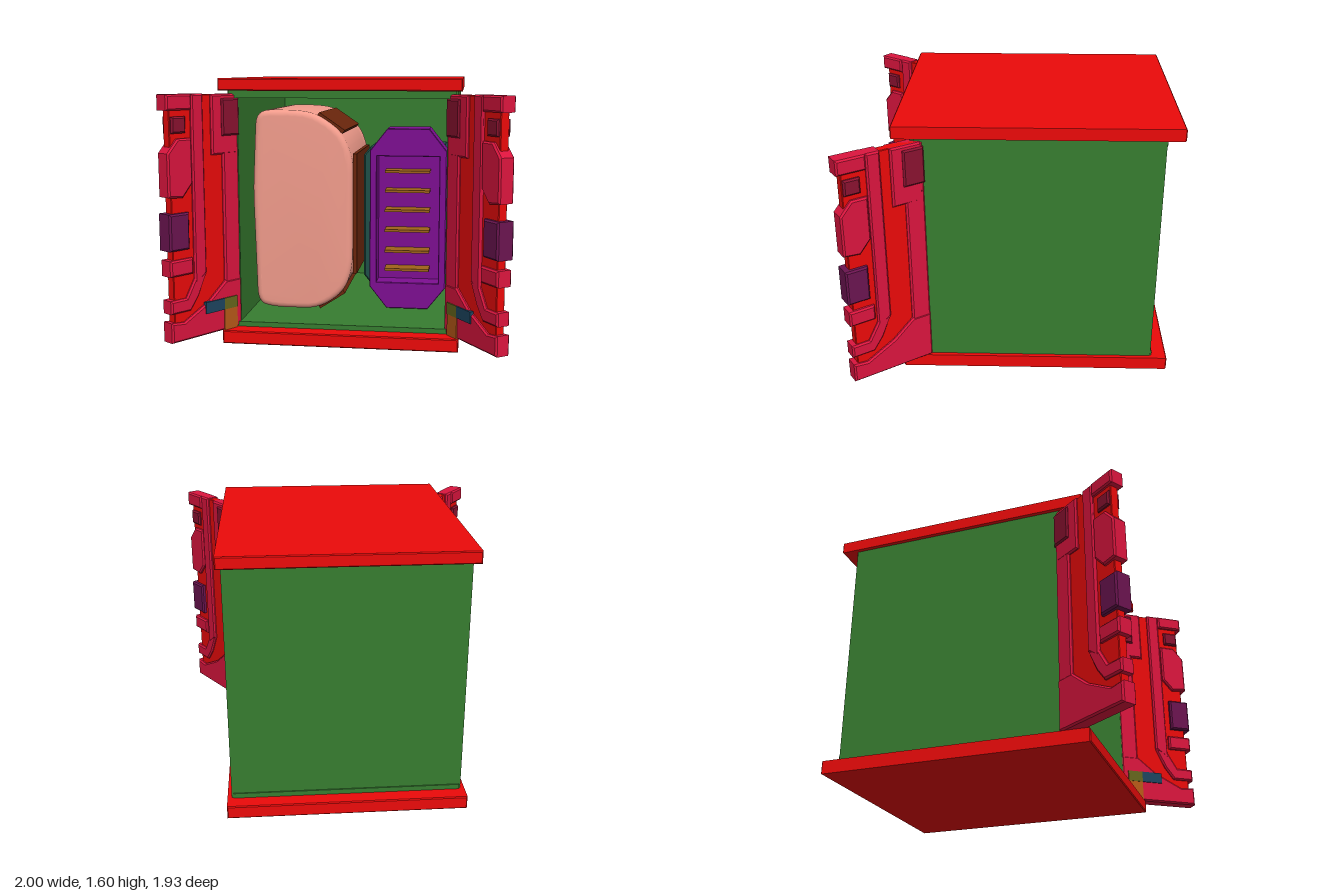
import * as THREE from 'three';
import { toCreasedNormals } from 'three/addons/utils/BufferGeometryUtils.js';

const mat = color => new THREE.MeshStandardMaterial({ color });
const RED = mat(0xec0a0a), CRIMSON = mat(0xdc153e), DARK = mat(0x8a1230), PLUM = mat(0x6b1450),
  GREEN = mat(0x377d30), PINK = mat(0xf29c8c), PURPLE = mat(0x7d0f92), TEAL = mat(0x1f5048),
  BLUE = mat(0x1d4560), OLIVE = mat(0x66661c), ORANGE = mat(0xb85a18), BROWN = mat(0x6b260c), FIN = mat(0xa0621a);

function add(parent, name, geometry, material, x = 0, y = 0, z = 0) {
  const mesh = new THREE.Mesh(geometry, material);
  mesh.name = name;
  mesh.position.set(x, y, z);
  parent.add(mesh);
  return mesh;
}

// Box given by its limits on each axis
function block(parent, name, material, x0, x1, y0, y1, z0, z1) {
  return add(parent, name, new THREE.BoxGeometry(x1 - x0, y1 - y0, z1 - z0), material,
    (x0 + x1) / 2, (y0 + y1) / 2, (z0 + z1) / 2);
}

const outline = (pts, Type = THREE.Shape) => new Type(pts.map(p => new THREE.Vector2(...p)));

// Closed outline with softened corners
function softOutline(pts, Type = THREE.Shape, r = 0.09) {
  const path = new Type();
  const v = pts.map(p => new THREE.Vector2(...p));
  v.forEach((c, i) => {
    const toward = q => c.clone().lerp(q, Math.min(0.48, r / c.distanceTo(q)));
    const a = toward(v[(i + v.length - 1) % v.length]), b = toward(v[(i + 1) % v.length]);
    if (i === 0) path.moveTo(a.x, a.y); else path.lineTo(a.x, a.y);
    path.quadraticCurveTo(c.x, c.y, b.x, b.y);
  });
  path.closePath();
  return path;
}

// Extrusion from z0 to z1 with a bevel that stays inside the outline
function slab(shape, z0, z1, bevel = 0.01, segments = 1) {
  return new THREE.ExtrudeGeometry(shape, {
    depth: z1 - z0 - 2 * bevel, bevelThickness: bevel, bevelSize: bevel, bevelOffset: -bevel,
    bevelSegments: segments, curveSegments: 6,
  }).translate(0, 0, z0 + bevel);
}

const rect = (x0, x1, y0, y1) => [[x0, y0], [x1, y0], [x1, y1], [x0, y1]];

// Door: x runs from the hinge to the free edge, z is the thickness
function makeDoor(side) {
  const door = new THREE.Group();
  door.name = side > 0 ? 'leftDoor' : 'rightDoor';
  const part = (name, pts, half, material, bevel = 0.01) =>
    add(door, name, slab(outline(pts), -half, half, bevel), material);

  part('doorPanel', rect(0.02, 0.48, 0.1, 1.505), 0.028, RED, 0.004);
  part('hingeStile', rect(-0.01, 0.11, 0.09, 1.5), 0.043, CRIMSON);
  part('hingePad', rect(0, 0.19, 1.15, 1.505), 0.044, CRIMSON);
  part('hingeBlock', rect(-0.012, 0.12, 1.26, 1.48), 0.055, DARK);
  part('middleStile', [[0.25, 0.46], [0.335, 0.4], [0.335, 1.51], [0.25, 1.51]], 0.046, CRIMSON);
  part('lowerBend', [[0.25, 0.46], [0.31, 0.33], [0.37, 0.25], [0.51, 0.25], [0.51, 0.33], [0.4, 0.33], [0.335, 0.44]],
    0.045, CRIMSON);
  part('topRail', rect(0.335, 0.51, 1.42, 1.51), 0.05, CRIMSON);
  part('upperButton', rect(0.375, 0.475, 1.29, 1.385), 0.046, DARK);
  part('sidePlate', [[0.34, 1], [0.41, 0.92], [0.51, 0.93], [0.51, 1.18], [0.44, 1.26], [0.34, 1.26]], 0.05, CRIMSON);
  part('latch', rect(0.375, 0.513, 0.62, 0.835), 0.056, PLUM);
  part('lowerRail', rect(0.35, 0.51, 0.47, 0.565), 0.05, CRIMSON);
  part('kickPlate', [[-0.01, 0.08], [0.51, 0.08], [0.51, 0.2], [0.42, 0.19], [0.24, 0.28], [0.11, 0.385], [-0.01, 0.385]],
    0.047, CRIMSON);

  // Hinge fittings on the inner face
  const fitting = (name, material, x0, x1, y0, y1, depth) => {
    const z = side * 0.03, z2 = side * depth;
    block(door, name, material, x0, x1, y0, y1, Math.min(z, z2), Math.max(z, z2));
  };
  fitting('fittingArm', BLUE, 0.13, 0.27, 0.21, 0.28, 0.055);
  fitting('fittingJoint', OLIVE, 0.03, 0.13, 0.21, 0.28, 0.055);
  fitting('fittingPost', ORANGE, 0.03, 0.13, 0.08, 0.21, 0.052);

  const angle = 0.963;
  door.position.set(side * 0.665, 0, 0.52);
  door.rotation.y = side > 0 ? -angle : angle - Math.PI;
  return door;
}

// Deep tub lying on its side, open to the front
function makeTub() {
  const tub = new THREE.Group();
  tub.name = 'tub';
  const outer = [[-0.595, 0.9], [-0.575, 0.17], [-0.47, 0.14], [-0.18, 0.14], [-0.02, 0.25], [0.035, 0.4],
    [0.04, 1.1], [-0.02, 1.26], [-0.18, 1.375], [-0.3, 1.4], [-0.57, 1.4]];
  const inner = [[-0.52, 1.29], [-0.23, 1.3], [-0.06, 1.14], [-0.06, 0.4], [-0.2, 0.23], [-0.51, 0.22]];
  const wall = softOutline(outer);
  wall.holes.push(softOutline(inner, THREE.Path));
  add(tub, 'tubWall', toCreasedNormals(slab(wall, -0.5, 0.335, 0.035, 4), 0.7), PINK);
  add(tub, 'tubBottom', toCreasedNormals(slab(softOutline(outer), -0.54, -0.4, 0.02, 2), 0.7), PINK);
  for (const y of [0.46, 0.74, 1.03]) {
    const bar = add(tub, 'crossBar', new THREE.CylinderGeometry(0.011, 0.011, 0.46, 8), PURPLE, -0.29, y, -0.31);
    bar.rotation.z = Math.PI / 2;
  }
  // Cladding boards along the rounded side
  const boards = [[-0.18, 1.375, -0.02, 1.265], [0.05, 1.13, 0.05, 0.37], [-0.02, 0.25, -0.18, 0.145]];
  for (const [x0, y0, x1, y1] of boards) {
    const length = Math.hypot(x1 - x0, y1 - y0);
    const board = add(tub, 'claddingBoard', new THREE.BoxGeometry(length, 0.025, 0.7), BROWN,
      (x0 + x1) / 2, (y0 + y1) / 2, -0.06);
    board.rotation.z = Math.atan2(y1 - y0, x1 - x0);
  }
  return tub;
}

// Vented unit with a framed recess and fins
function makeVent() {
  const vent = new THREE.Group();
  vent.name = 'ventUnit';
  const octagon = (x0, x1, y0, y1, cx, cy) => [[x0 + cx, y0], [x1 - cx, y0], [x1, y0 + cy], [x1, y1 - cy],
    [x1 - cx, y1], [x0 + cx, y1], [x0, y1 - cy], [x0, y0 + cy]];
  const face = octagon(0.13, 0.615, 0.12, 1.28, 0.11, 0.14);
  const frame = outline(face);
  frame.holes.push(outline(rect(0.175, 0.57, 0.29, 1.105), THREE.Path));
  add(vent, 'ventFrame', slab(frame, 0.03, 0.17, 0.004), PURPLE);
  add(vent, 'ventBack', slab(outline(face), -0.06, 0.04, 0.004), PURPLE);
  add(vent, 'ventBody', slab(outline(octagon(0.075, 0.635, 0.25, 1.15, 0.04, 0.05)), -0.5, 0.02), TEAL);
  for (const y of [0.37, 0.49, 0.625, 0.755, 0.88, 1.005]) {
    block(vent, 'ventFin', FIN, 0.225, 0.51, y - 0.008, y + 0.008, 0.03, 0.155);
  }
  return vent;
}

export function createModel() {
  const model = new THREE.Group();
  model.name = 'cabinet';

  // Roof and base plates
  add(model, 'roof', slab(outline(rect(-0.71, 0.71, 1.525, 1.597)), -0.967, 0.665, 0.006), RED);
  add(model, 'base', slab(outline(rect(-0.71, 0.71, 0, 0.08)), -0.967, 0.665, 0.006), RED);

  // Open-fronted shell
  const shell = new THREE.Group();
  shell.name = 'shell';
  model.add(shell);
  for (const s of [-1, 1]) {
    block(shell, 'sideWall', GREEN, s * 0.655 - 0.03, s * 0.655 + 0.03, 0.07, 1.53, -0.865, 0.54);
  }
  block(shell, 'backWall', GREEN, -0.68, 0.68, 0.07, 1.53, -0.868, -0.83);
  block(shell, 'ceiling', GREEN, -0.675, 0.675, 1.48, 1.53, -0.872, 0.56);
  block(shell, 'floor', GREEN, -0.675, 0.675, 0.07, 0.11, -0.875, 0.56);

  model.add(makeTub(), makeVent(), makeDoor(1), makeDoor(-1));
  return model;
}
